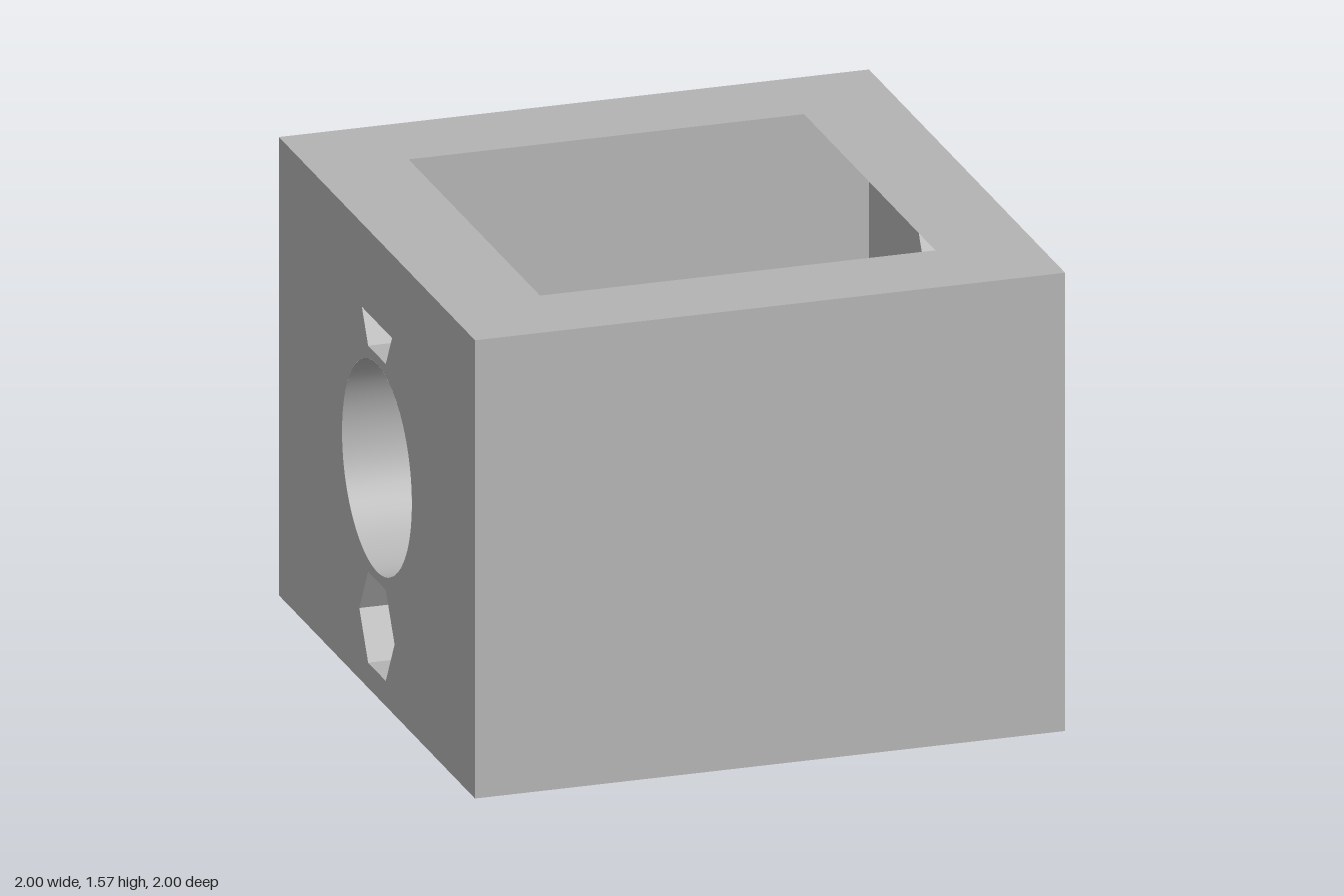
import * as THREE from 'three';

const H = 1.57, OPEN = 0.67, MID = H / 2;
const BORE_R = 0.356, BORE_D = 0.28, NUT_D = 0.205;
const HEX_Z = 0.18, HEX_Y = 0.156, NUT_OFFSET = 0.543;

const V = (x, y) => new THREE.Vector2(x, y);

// Hexagon with its points to the sides, starting at the +u point
function hexagon(cy) {
  return [V(HEX_Z, cy), V(HEX_Z / 2, cy + HEX_Y), V(-HEX_Z / 2, cy + HEX_Y),
    V(-HEX_Z, cy), V(-HEX_Z / 2, cy - HEX_Y), V(HEX_Z / 2, cy - HEX_Y)];
}

// Half hexagon carried straight on to the end plate (dir 1 = up, -1 = down)
function slot(cy, dir) {
  const end = dir > 0 ? H : 0;
  return [V(HEX_Z, end), V(HEX_Z, cy), V(HEX_Z / 2, cy - dir * HEX_Y),
    V(-HEX_Z / 2, cy - dir * HEX_Y), V(-HEX_Z, cy), V(-HEX_Z, end)];
}

// Strip of flat walls along an outline, going back to -depth
function walls(points, depth, skip = -1) {
  const pos = [];
  points.forEach((a, i) => {
    if (i === skip) return;
    const b = points[(i + 1) % points.length];
    pos.push(a.x, a.y, 0, b.x, b.y, -depth, b.x, b.y, 0);
    pos.push(a.x, a.y, 0, a.x, a.y, -depth, b.x, b.y, -depth);
  });
  const g = new THREE.BufferGeometry();
  g.setAttribute('position', new THREE.Float32BufferAttribute(pos, 3));
  g.computeVertexNormals();
  return g;
}

function rect(x0, y0, x1, y1) {
  return [V(x0, y0), V(x1, y0), V(x1, y1), V(x0, y1)];
}

function plate(outline, holes = []) {
  const s = new THREE.Shape(outline);
  holes.forEach((h) => s.holes.push(new THREE.Path(h)));
  return new THREE.ShapeGeometry(s);
}

export function createModel() {
  const model = new THREE.Group();
  const grey = new THREE.MeshStandardMaterial({ color: 0xb3b3b3, side: THREE.DoubleSide });
  grey.name = 'grey';

  function add(parent, name, geometry) {
    const m = new THREE.Mesh(geometry, grey);
    m.name = name;
    parent.add(m);
    return m;
  }

  // Plain front and back panels
  add(model, 'frontPanel', plate(rect(-1, 0, 1, H)).translate(0, 0, 1));
  add(model, 'backPanel', plate(rect(-1, 0, 1, H)).rotateY(Math.PI).translate(0, 0, -1));

  // Top and bottom rims round the square opening
  const opening = rect(-OPEN, -OPEN, OPEN, OPEN);
  add(model, 'topRim', plate(rect(-1, -1, 1, 1), [opening])
    .rotateX(-Math.PI / 2).translate(0, H, 0));
  // The bottom rim has a notch at its left edge
  const notched = [V(-1, -1), V(1, -1), V(1, -HEX_Z), V(0.79, -HEX_Z),
    V(0.79, HEX_Z), V(1, HEX_Z), V(1, 1), V(-1, 1)];
  add(model, 'bottomRim', plate(notched, [opening]).rotateX(Math.PI / 2));

  // Side panels, each with a round blind bore between two nut pockets
  const circle = new THREE.Path().absarc(0, MID, BORE_R, 0, Math.PI * 2).getPoints(48).slice(0, -1);
  const upperY = MID + NUT_OFFSET, lowerY = MID - NUT_OFFSET;

  for (const side of [1, -1]) {
    const panel = new THREE.Group();
    panel.name = side > 0 ? 'leftSide' : 'rightSide';
    panel.rotation.y = side * Math.PI / 2;
    panel.position.x = side;
    model.add(panel);

    const upper = hexagon(upperY), lower = hexagon(lowerY);
    // The upper pocket on one side is partly covered
    const cutY = upperY - 0.045;
    const w = HEX_Z - 0.045 * (HEX_Z / 2) / HEX_Y;
    const upperHole = side > 0 ? upper : [V(w, cutY), V(-w, cutY), upper[4], upper[5]];
    add(panel, 'sidePanel', plate(rect(-1, 0, 1, H), [circle, upperHole, lower]));

    add(panel, 'boreWall', new THREE.CylinderGeometry(BORE_R, BORE_R, BORE_D, 48, 1, true)
      .rotateX(Math.PI / 2).translate(0, MID, -BORE_D / 2));
    add(panel, 'boreEnd', new THREE.CircleGeometry(BORE_R, 48).translate(0, MID, -BORE_D));

    // Nut pockets
    add(panel, 'upperNutPocket', walls(upper, NUT_D));
    add(panel, 'lowerNutPocket', walls(lower, NUT_D, side > 0 ? 4 : -1));
    const ends = side > 0 ? [upper, lower] : [slot(upperY, 1), slot(lowerY, -1)];
    ends.forEach((outline) => {
      add(panel, 'nutPocketEnd', plate(outline).translate(0, 0, -NUT_D));
      if (side < 0) add(panel, 'nutSlotWalls', walls(outline, NUT_D, 5));
    });
  }
  return model;
}
